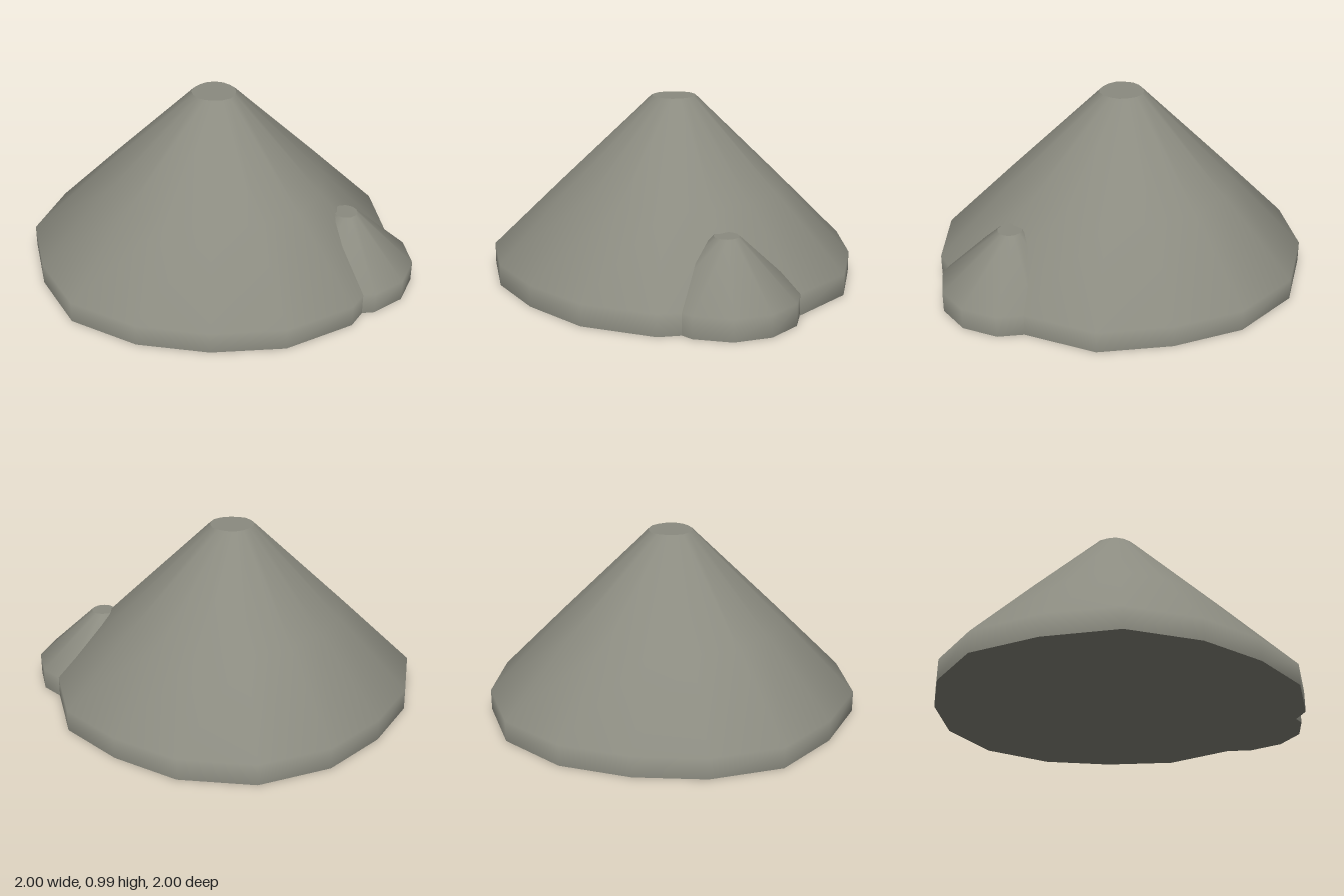
import * as THREE from 'three';

// Uneven footprint of the large mound, as [x, z] around the y axis
const FOOTPRINT = [
  [1, 0], [0.9, 0.38], [0.717, 0.71], [0.395, 0.95],
  [0, 1], [-0.37, 0.89], [-0.695, 0.695], [-0.947, 0.39],
  [-1, 0], [-0.947, -0.39], [-0.695, -0.695], [-0.37, -0.89],
  [0, -1], [0.395, -0.95], [0.717, -0.71], [0.9, -0.375],
];

// Regular footprint with unit radius
function circle(sides) {
  return Array.from({ length: sides }, (_, i) => {
    const a = (i / sides) * Math.PI * 2;
    return [Math.cos(a), Math.sin(a)];
  });
}

function build(positions, index) {
  const geometry = new THREE.BufferGeometry();
  geometry.setAttribute('position', new THREE.Float32BufferAttribute(positions, 3));
  geometry.setIndex(index);
  geometry.computeVertexNormals();
  return geometry;
}

// Smooth wall through scaled copies of a footprint; profile holds [scale, y]
function wall(footprint, profile) {
  const n = footprint.length, positions = [], index = [];
  for (const [s, y] of profile) for (const [x, z] of footprint) positions.push(x * s, y, z * s);
  for (let r = 0; r < profile.length - 1; r++) {
    for (let i = 0; i < n; i++) {
      const a = r * n + i, b = r * n + ((i + 1) % n);
      index.push(a, a + n, b, b, a + n, b + n);
    }
  }
  return build(positions, index);
}

// Flat lid over one scaled footprint
function lid(footprint, [s, y], up) {
  const n = footprint.length, positions = [0, y, 0], index = [];
  for (const [x, z] of footprint) positions.push(x * s, y, z * s);
  for (let i = 0; i < n; i++) {
    const a = 1 + i, b = 1 + ((i + 1) % n);
    index.push(0, up ? b : a, up ? a : b);
  }
  return build(positions, index);
}

// Truncated cone with a short upright skirt
function mound(name, footprint, profile, material) {
  const group = new THREE.Group();
  group.name = name;
  const add = (part, geometry) => {
    const mesh = new THREE.Mesh(geometry, material);
    mesh.name = part;
    group.add(mesh);
  };
  add(name + 'Slope', wall(footprint, profile));
  add(name + 'Top', lid(footprint, profile[profile.length - 1], true));
  add(name + 'Underside', lid(footprint, profile[0], false));
  return group;
}

export function createModel() {
  const stone = new THREE.MeshStandardMaterial({ color: 0x8b8b80 });
  stone.name = 'greyStone';

  const model = new THREE.Group();
  model.name = 'rockMounds';

  // Large central mound
  model.add(mound('largeMound', FOOTPRINT,
    [[1, 0], [1, 0.115], [0.615, 0.5], [0.12, 0.985]], stone));

  // Small mound sunk into its front left flank
  const small = mound('smallMound', circle(12),
    [[0.38, 0], [0.38, 0.115], [0.065, 0.405]], stone);
  small.position.set(0.555, 0, 0.515);
  model.add(small);

  return model;
}
